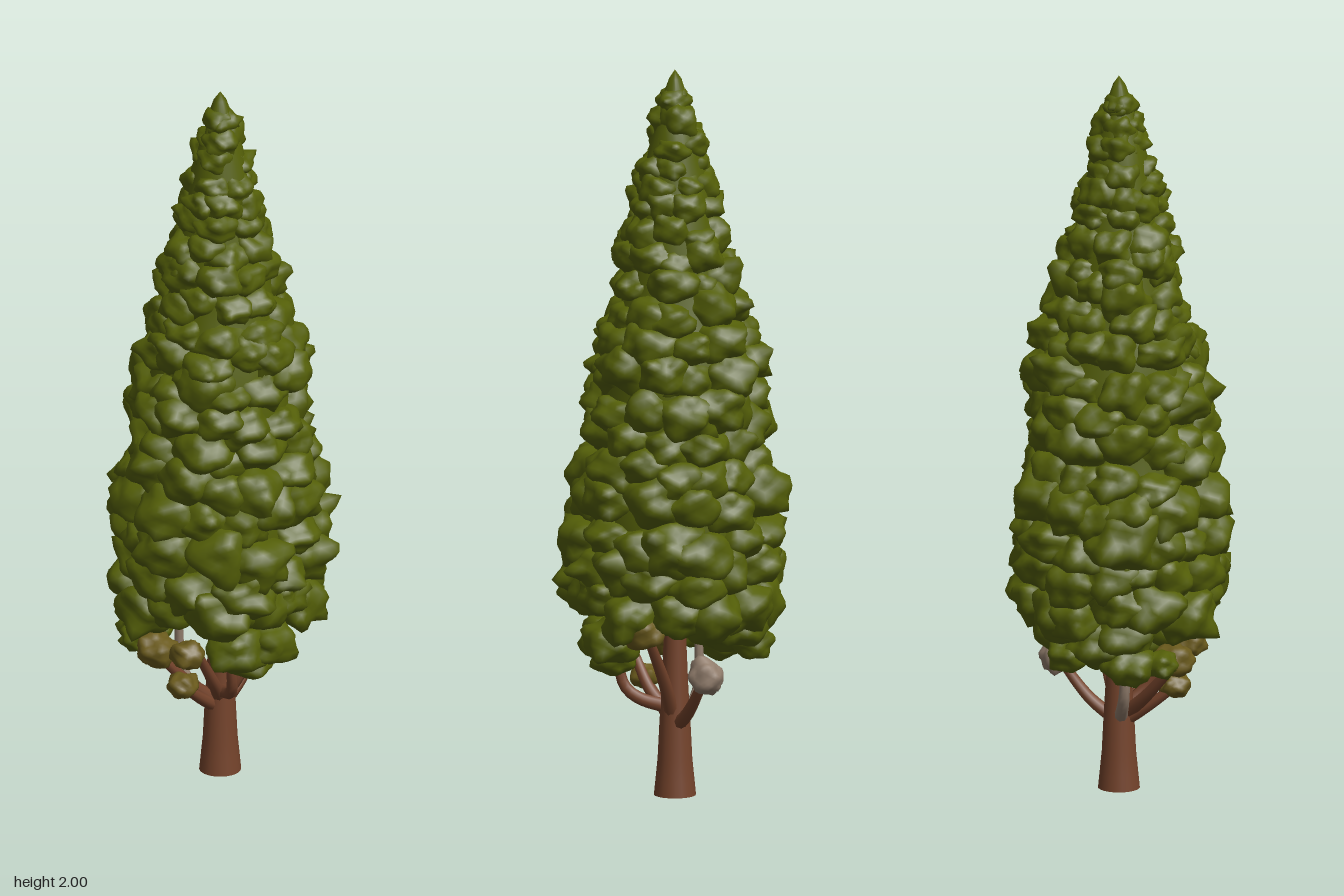
import * as THREE from 'three';
import { mergeVertices, mergeGeometries } from 'three/addons/utils/BufferGeometryUtils.js';

// Outer crown radius at given heights: [y, radius]
const CROWN = [
  [0.34, 0.16], [0.45, 0.26], [0.54, 0.295], [0.62, 0.298], [0.75, 0.308], [0.86, 0.3],
  [0.96, 0.268], [1.08, 0.262], [1.2, 0.248], [1.3, 0.218], [1.4, 0.18], [1.5, 0.168],
  [1.6, 0.14], [1.7, 0.115], [1.8, 0.09], [1.88, 0.06], [1.94, 0.035], [2, 0],
];

function crownRadius(y) {
  for (let i = 1; i < CROWN.length; i++) {
    const [y0, r0] = CROWN[i - 1], [y1, r1] = CROWN[i];
    if (y <= y1) return THREE.MathUtils.lerp(r0, r1, Math.max(0, (y - y0) / (y1 - y0)));
  }
  return 0;
}

function makeRandom(seed) {
  return () => {
    seed = (seed * 1664525 + 1013904223) % 4294967296;
    return seed / 4294967296;
  };
}

// Lumpy leaf clump: a smooth ball with waves and a few soft pointed tips
function clumpGeometry(rand, radius, squash = 0.8) {
  let geo = new THREE.IcosahedronGeometry(1, 4);
  geo.deleteAttribute('normal');
  geo.deleteAttribute('uv');
  geo = mergeVertices(geo, 1e-3);
  const tips = Array.from({ length: 16 }, () =>
    new THREE.Vector3(rand() - 0.5, rand() - 0.5, rand() - 0.5).normalize());
  const phase = rand() * 20;
  const pos = geo.attributes.position;
  const v = new THREE.Vector3();
  for (let i = 0; i < pos.count; i++) {
    v.fromBufferAttribute(pos, i).normalize();
    let r = 0.9 + 0.1 * Math.sin(v.x * 4 + phase) * Math.sin(v.y * 5 + phase * 2)
      + 0.06 * Math.sin(v.z * 7 - phase);
    for (const t of tips) r += 0.17 * Math.pow(Math.max(0, v.dot(t)), 40);
    v.multiplyScalar(r * radius);
    pos.setXYZ(i, v.x, v.y * squash, v.z);
  }
  geo.computeVertexNormals();
  return geo;
}

// Rippled inner cone ending in the pointed tip, hollowed slightly below
function coreGeometry() {
  const points = [new THREE.Vector2(0.02, 0.55), new THREE.Vector2(0.14, 0.5)];
  for (let y = 0.56; y < 1.86; y += 0.08) points.push(new THREE.Vector2(crownRadius(y) * 0.78, y));
  points.push(new THREE.Vector2(0.045, 1.88), new THREE.Vector2(0.032, 1.93),
    new THREE.Vector2(0.017, 1.975), new THREE.Vector2(0, 2));
  const geo = new THREE.LatheGeometry(points, 24);
  geo.deleteAttribute('uv');
  geo.deleteAttribute('normal');
  const pos = geo.attributes.position;
  for (let i = 0; i < pos.count; i++) {
    const x = pos.getX(i), y = pos.getY(i), z = pos.getZ(i);
    const k = 1 + 0.06 * Math.sin(Math.atan2(z, x) * 5 + y * 30);
    pos.setXYZ(i, x * k, y, z * k);
  }
  const merged = mergeVertices(geo, 1e-4);
  merged.computeVertexNormals();
  return merged;
}

// Tube that thins from its base to its end
function branchGeometry(points, r0, r1) {
  const curve = new THREE.CatmullRomCurve3(points.map(p => new THREE.Vector3(...p)));
  const rings = 14, sides = 8;
  const geo = new THREE.TubeGeometry(curve, rings, 1, sides);
  const pos = geo.attributes.position;
  const v = new THREE.Vector3();
  for (let i = 0; i < pos.count; i++) {
    const t = Math.floor(i / (sides + 1)) / rings;
    const c = curve.getPointAt(t);
    v.fromBufferAttribute(pos, i).sub(c).multiplyScalar(r0 + (r1 - r0) * t).add(c);
    pos.setXYZ(i, v.x, v.y, v.z);
  }
  return geo;
}

export function createModel() {
  const group = new THREE.Group();
  const rand = makeRandom(77);
  const mat = (name, color, side = THREE.FrontSide) =>
    Object.assign(new THREE.MeshStandardMaterial({ color, side }), { name });
  const leaf = mat('leaf green', 0x545f08);
  const olive = mat('dry olive', 0x6a5a1c);
  const bark = mat('bark brown', 0x74432b, THREE.DoubleSide);
  const pale = mat('pale grey brown', 0x917d6c, THREE.DoubleSide);

  const add = (name, geo, material) => {
    const mesh = new THREE.Mesh(geo, material);
    mesh.name = name;
    group.add(mesh);
    return mesh;
  };

  // Trunk, flared at the foot and open below
  const profile = [[0.057, 0], [0.053, 0.04], [0.047, 0.1], [0.042, 0.2], [0.036, 0.3],
    [0.031, 0.42], [0.024, 0.7], [0.012, 1.2]];
  add('trunk', new THREE.LatheGeometry(profile.map(p => new THREE.Vector2(...p)), 20), bark);

  // Branches under the crown
  const branches = [
    [[0, 0.19, 0.015], [0.012, 0.235, 0.08], [0.03, 0.29, 0.15]],
    [[0, 0.21, 0.02], [-0.02, 0.27, 0.09], [-0.04, 0.38, 0.19]],
    [[0.01, 0.24, 0.01], [0.09, 0.265, 0.04], [0.125, 0.3, 0.06], [0.14, 0.42, 0.08]],
    [[0.01, 0.22, 0.01], [0.05, 0.28, 0.06], [0.08, 0.4, 0.14]],
    [[0, 0.19, -0.01], [-0.01, 0.24, -0.08], [-0.02, 0.31, -0.14], [-0.03, 0.36, -0.17]],
    [[0.01, 0.22, -0.01], [0.05, 0.32, -0.06], [0.13, 0.48, -0.14]],
  ];
  branches.forEach((b, i) => add('branch' + (i + 1), branchGeometry(b, 0.02, 0.012), bark));
  add('paleBranch', branchGeometry(
    [[-0.01, 0.2, 0.01], [-0.06, 0.235, 0.04], [-0.088, 0.28, 0.06], [-0.092, 0.42, 0.07]],
    0.019, 0.011), pale);

  // Dry clumps showing below the crown: x, y, z, radius
  const dry = [
    [0.03, 0.3, 0.155, 0.045], [-0.04, 0.39, 0.19, 0.06], [0.075, 0.41, 0.175, 0.05],
    [0.14, 0.485, -0.15, 0.065],
  ];
  dry.forEach(([x, y, z, r], i) =>
    add('dryClump' + (i + 1), clumpGeometry(rand, r), olive).position.set(x, y, z));
  const paleSpot = [-0.03, 0.355, -0.17, 0.052];
  add('paleClump', clumpGeometry(rand, paleSpot[3], 1), pale).position.set(...paleSpot.slice(0, 3));

  // Low green clumps hanging at the sides
  const parts = [coreGeometry()];
  const low = [[0.165, 0.385, 0.03, 0.065], [-0.17, 0.4, 0.11, 0.075], [-0.12, 0.4, 0.19, 0.05],
    [-0.2, 0.42, -0.05, 0.065]];
  for (const [x, y, z, r] of low) parts.push(clumpGeometry(rand, r).translate(x, y, z));

  // Crown: inner cone covered with staggered rings of leaf clumps
  let ring = 0;
  for (let y = 0.46; y < 1.93; ring++) {
    const R = crownRadius(y);
    const size = 0.036 + 0.175 * R;
    const ringR = Math.max(0.004, R - size * 0.98);
    const count = Math.max(3, Math.round((2 * Math.PI * ringR) / (size * 1.15)));
    for (let i = 0; i < count; i++) {
      const a = ((i + 0.5 * (ring % 2) + (rand() - 0.5) * 0.6) / count) * Math.PI * 2;
      const rr = ringR * (1 + (rand() - 0.6) * 0.14);
      const x = Math.cos(a) * rr, z = Math.sin(a) * rr;
      // the lowest ring leaves gaps where dry clumps show
      const gap = ring === 0 && [...dry, paleSpot].some(d => Math.hypot(x - d[0], z - d[2]) < 0.065);
      if (gap) continue;
      const geo = clumpGeometry(rand, size * (0.9 + rand() * 0.25), 0.7 + rand() * 0.25);
      parts.push(geo.translate(x, y + (rand() - 0.5) * size * 0.7, z));
    }
    y += size * 1.05;
  }
  add('crown', mergeGeometries(parts), leaf);
  return group;
}
